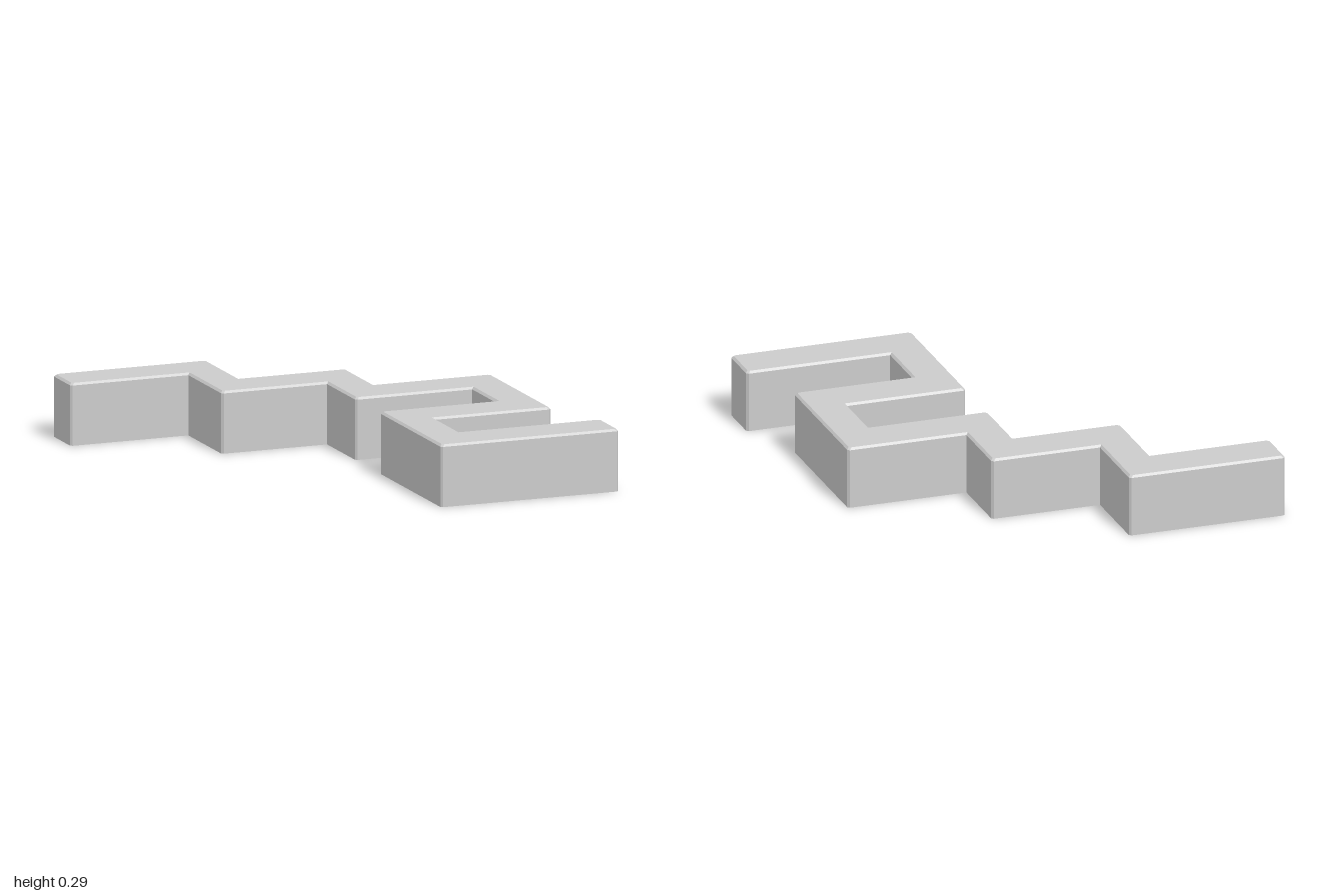
import * as THREE from 'three';

const HEIGHT = 0.29;
const BEVEL = 0.01;

// Plan of the zigzag wall as [x, z], clockwise seen from above
const PLAN = [
  [-0.98, -1], [-0.23, -1], [-0.23, -0.6], [0.29, -0.6], [0.29, -0.255],
  [0.86, -0.255], [0.86, 0.475], [0.29, 0.475], [0.29, 0.78], [0.98, 0.78],
  [0.98, 1], [0.11, 1], [0.11, 0.26], [0.68, 0.26], [0.68, -0.035],
  [0.11, -0.035], [0.11, -0.38], [-0.405, -0.38], [-0.405, -0.785], [-0.98, -0.785],
].map(([x, z]) => new THREE.Vector2(x, z));

// Outline moved inwards by `inset`, with its outer corners cut off
function outline(inset) {
  const points = [];
  PLAN.forEach((p, i) => {
    const before = PLAN[(i + PLAN.length - 1) % PLAN.length];
    const after = PLAN[(i + 1) % PLAN.length];
    const a = p.clone().sub(before).normalize();
    const b = after.clone().sub(p).normalize();
    const corner = p.clone().add(new THREE.Vector2(-a.y - b.y, a.x + b.x).multiplyScalar(inset));
    if (a.cross(b) > 0) {
      points.push(corner.clone().addScaledVector(a, -BEVEL), corner.clone().addScaledVector(b, BEVEL));
    } else {
      points.push(corner);
    }
  });
  return points;
}

function wallGeometry() {
  const positions = [];
  const add = (...corners) => corners.forEach(([p, y]) => positions.push(p.x, y, p.y));
  const rings = [
    { y: 0, points: outline(0) },
    { y: HEIGHT - BEVEL, points: outline(0) },
    { y: HEIGHT, points: outline(BEVEL) },
  ];

  // Upright sides and the bevel along the top edge
  for (let r = 0; r < rings.length - 1; r++) {
    const low = rings[r], high = rings[r + 1];
    low.points.forEach((p, i) => {
      const j = (i + 1) % low.points.length;
      const lowI = [p, low.y], lowJ = [low.points[j], low.y];
      const highI = [high.points[i], high.y], highJ = [high.points[j], high.y];
      add(lowI, highI, highJ, lowI, highJ, lowJ);
    });
  }

  // Flat bottom and top
  const cap = ({ y, points }, up) => {
    for (const face of THREE.ShapeUtils.triangulateShape(points, [])) {
      const [a, b, c] = face.map((k) => points[k]);
      const facesDown = b.clone().sub(a).cross(c.clone().sub(a)) > 0;
      if (facesDown === up) add([a, y], [c, y], [b, y]);
      else add([a, y], [b, y], [c, y]);
    }
  };
  cap(rings[0], false);
  cap(rings[2], true);

  const geometry = new THREE.BufferGeometry();
  geometry.setAttribute('position', new THREE.Float32BufferAttribute(positions, 3));
  geometry.computeVertexNormals();
  return geometry;
}

export function createModel() {
  const group = new THREE.Group();
  group.name = 'zigzagBlock';
  const material = new THREE.MeshStandardMaterial({ color: 0xcccccc, flatShading: true });
  const wall = new THREE.Mesh(wallGeometry(), material);
  wall.name = 'zigzagWall';
  group.add(wall);
  return group;
}
